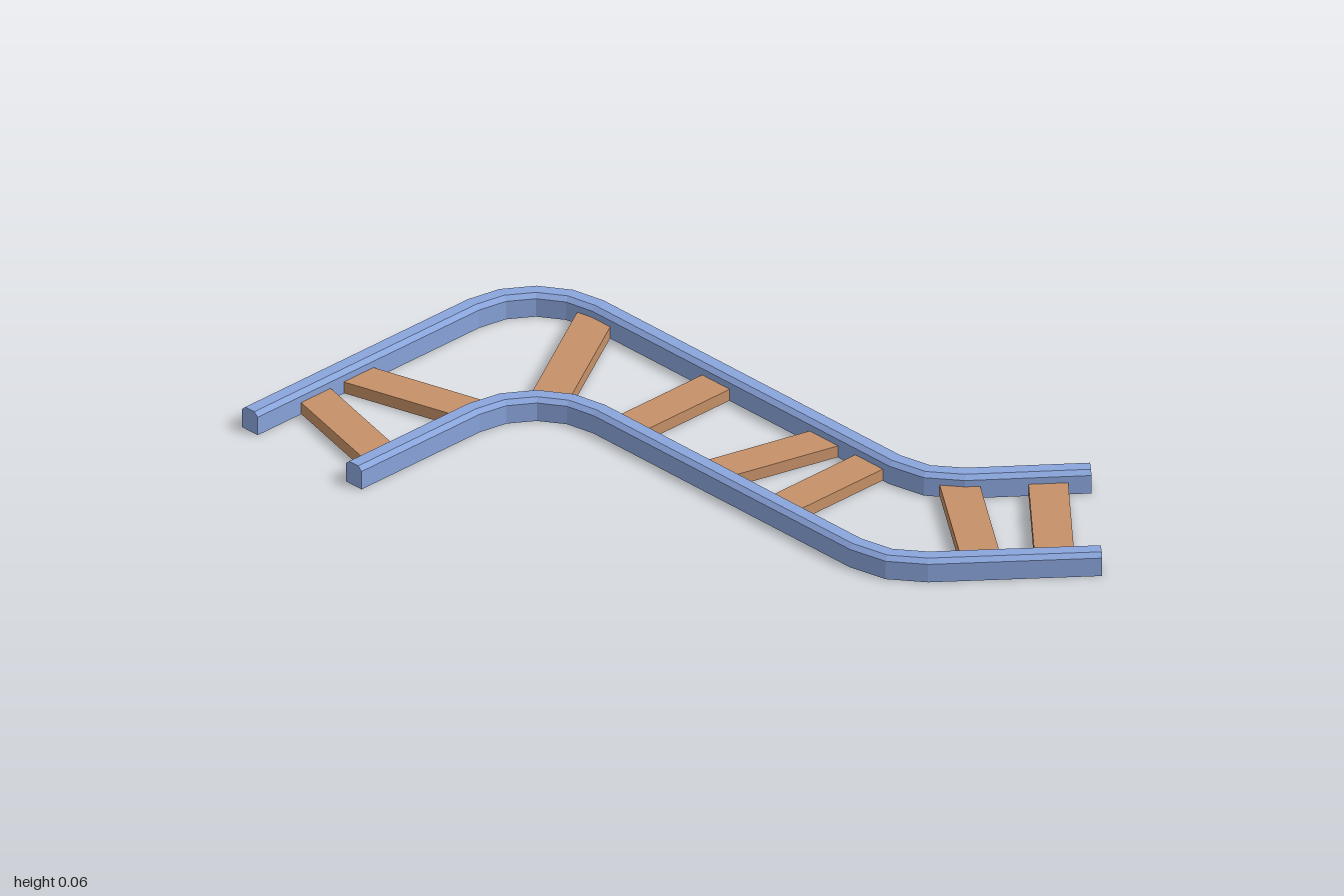
import * as THREE from 'three';

const RAIL = new THREE.MeshStandardMaterial({ color: 0x8aa5dc, flatShading: true });
const WOOD = new THREE.MeshStandardMaterial({ color: 0xc69068, flatShading: true });

// Rail cross-section (sideways, up): a bar with a chamfered top
const PROFILE = [[-0.028, 0], [0.028, 0], [0.028, 0.051], [0.016, 0.062], [-0.016, 0.062], [-0.028, 0.051]];

// Rounds each inner corner [x, z, tangent length, segments] of a ground path with an arc
function roundedPath(corners) {
  const v = corners.map(c => new THREE.Vector2(c[0], c[1]));
  const out = [v[0]];
  for (let i = 1; i < v.length - 1; i++) {
    const [, , tangent, segments] = corners[i];
    const u = v[i - 1].clone().sub(v[i]).normalize();
    const w = v[i + 1].clone().sub(v[i]).normalize();
    const half = Math.acos(u.dot(w)) / 2;
    const radius = tangent * Math.tan(half);
    const bisector = u.clone().add(w).normalize();
    const centre = v[i].clone().addScaledVector(bisector, tangent / Math.cos(half));
    const turn = Math.PI - 2 * half;
    const across = w.clone().sub(u).normalize();
    for (let k = 0; k <= segments; k++) {
      const a = turn * (k / segments - 0.5);
      out.push(centre.clone()
        .addScaledVector(bisector, -radius * Math.cos(a))
        .addScaledVector(across, radius * Math.sin(a)));
    }
  }
  out.push(v[v.length - 1]);
  return out;
}

// Sweeps the cross-section along the path with mitred joints and closed ends
function sweep(path) {
  const n = PROFILE.length, last = path.length - 1;
  const pos = [], idx = [];
  path.forEach((p, i) => {
    const d0 = path[Math.max(i, 1)].clone().sub(path[Math.max(i, 1) - 1]).normalize();
    const d1 = path[Math.min(i + 1, last)].clone().sub(path[Math.min(i + 1, last) - 1]).normalize();
    const d = d0.clone().add(d1).normalize();
    const stretch = 1 / d.dot(d0);
    for (const [s, y] of PROFILE) pos.push(p.x - d.y * s * stretch, y, p.y + d.x * s * stretch);
  });
  for (let i = 0; i < last; i++) {
    for (let j = 0; j < n; j++) {
      const a = i * n + j, b = i * n + (j + 1) % n;
      idx.push(a, a + n, b + n, a, b + n, b);
    }
  }
  const e = last * n;
  for (let j = 1; j < n - 1; j++) idx.push(0, j, j + 1, e, e + j + 1, e + j);
  const indexed = new THREE.BufferGeometry();
  indexed.setAttribute('position', new THREE.Float32BufferAttribute(pos, 3));
  indexed.setIndex(idx);
  const geo = indexed.toNonIndexed();
  geo.computeVertexNormals();
  return geo;
}

// A plank between two ground points, its ends tucked into the rails
function plank(x0, z0, x1, z1) {
  const dx = x1 - x0, dz = z1 - z0;
  const mesh = new THREE.Mesh(new THREE.BoxGeometry(Math.hypot(dx, dz) + 0.05, 0.032, 0.098), WOOD);
  mesh.position.set((x0 + x1) / 2, 0.017, (z0 + z1) / 2);
  mesh.rotation.y = -Math.atan2(dz, dx);
  return mesh;
}

export function createModel() {
  const model = new THREE.Group();
  model.name = 'railTrack';

  // Two parallel rails: a right-angle bend at the back, a gentler one at the front
  const rails = {
    leftRail: [[-0.66, -0.972], [0.323, -0.972, 0.222, 4], [0.323, 0.406, 0.1, 2], [0.64, 0.666]],
    rightRail: [[-0.66, -0.603], [-0.03, -0.603, 0.224, 4], [-0.03, 0.636, 0.104, 2], [0.378, 0.976]],
  };
  for (const [name, corners] of Object.entries(rails)) {
    const rail = new THREE.Mesh(sweep(roundedPath(corners)), RAIL);
    rail.name = name;
    model.add(rail);
  }

  // Crooked sleepers, inner end points as x0, z0, x1, z1
  const sleepers = new THREE.Group();
  sleepers.name = 'sleepers';
  [
    [-0.46, -0.947, -0.542, -0.63],
    [-0.315, -0.947, -0.228, -0.63],
    [0.296, -0.74, -0.058, -0.534],
    [0, -0.307, 0.296, -0.307],
    [0, 0, 0.296, 0.077],
    [0, 0.237, 0.296, 0.237],
    [0.376, 0.476, 0.18, 0.751],
    [0.54, 0.62, 0.312, 0.878],
  ].forEach((ends, i) => {
    const mesh = plank(...ends);
    mesh.name = `sleeper${i + 1}`;
    sleepers.add(mesh);
  });
  model.add(sleepers);
  return model;
}
